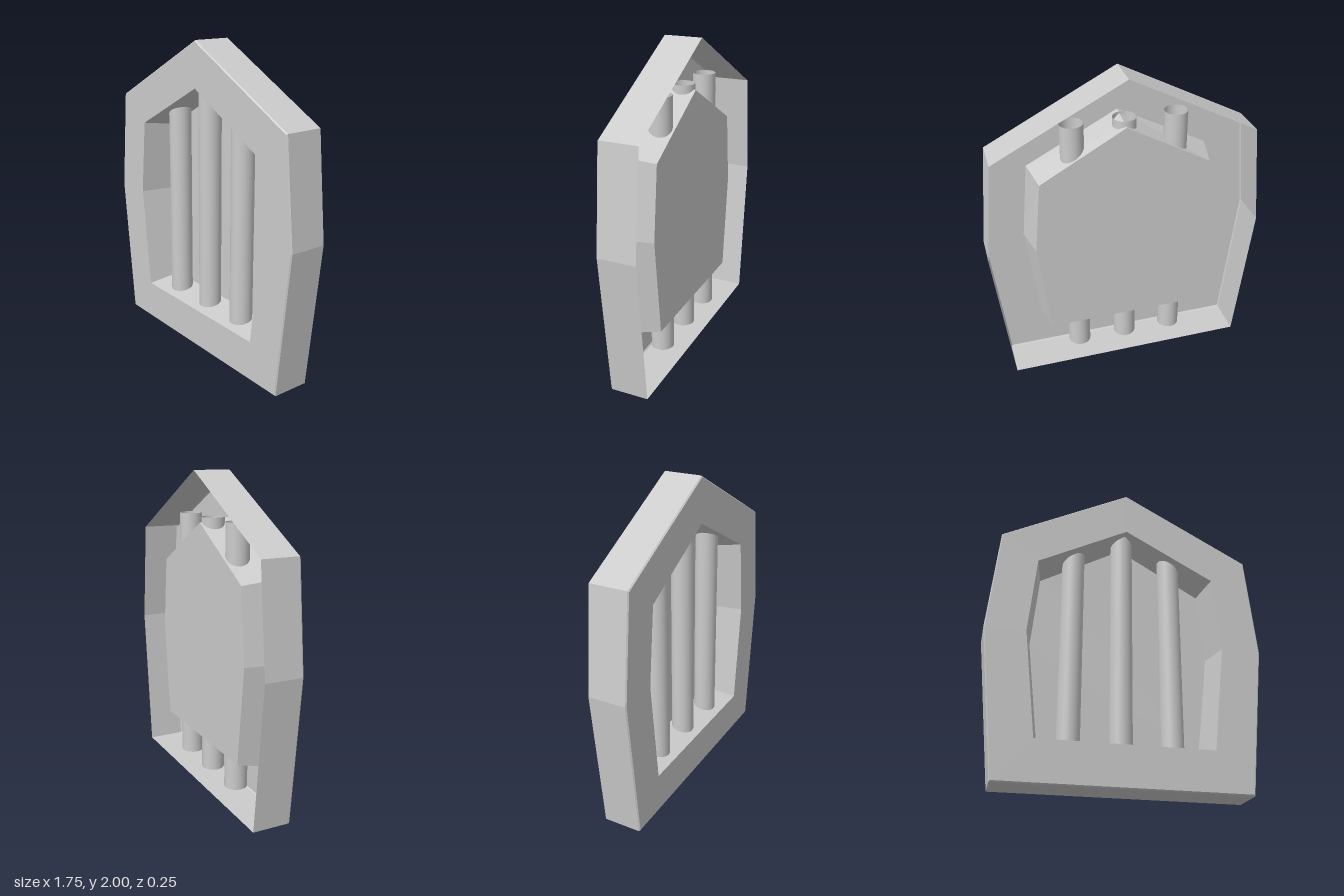
import * as THREE from 'three';

const flat = new THREE.MeshStandardMaterial({ color: 0xcccccc, flatShading: true, side: THREE.DoubleSide });
const smooth = new THREE.MeshStandardMaterial({ color: 0xcccccc, side: THREE.DoubleSide });

// Seven-sided gabled outline, counter-clockwise from the front
function outline(bottomX, bottomY, midX, shoulderX, shoulderY, peakY) {
  const right = [[bottomX, bottomY], [midX, 0.925], [shoulderX, shoulderY]];
  const left = right.map(([x, y]) => [-x, y]).reverse();
  return [...right, [0, peakY], ...left];
}

// Skin between successive outlines, each placed at its own depth
function loft(rings) {
  const pos = [];
  for (let r = 0; r < rings.length - 1; r++) {
    const [a, za] = rings[r], [b, zb] = rings[r + 1];
    for (let i = 0; i < a.length; i++) {
      const j = (i + 1) % a.length;
      const p = [...a[i], za], q = [...a[j], za], s = [...b[j], zb], t = [...b[i], zb];
      pos.push(...p, ...q, ...s, ...p, ...s, ...t);
    }
  }
  const geo = new THREE.BufferGeometry();
  geo.setAttribute('position', new THREE.Float32BufferAttribute(pos, 3));
  geo.computeVertexNormals();
  return geo;
}

export function createModel() {
  const group = new THREE.Group();
  const add = (name, geo, mat) => {
    const mesh = new THREE.Mesh(geo, mat);
    mesh.name = name;
    group.add(mesh);
    return mesh;
  };

  const outer = outline(0.775, 0, 0.875, 0.81, 1.58, 2);
  const rim = outline(0.769, 0.008, 0.868, 0.804, 1.575, 1.992);
  const opening = outline(0.545, 0.26, 0.62, 0.572, 1.415, 1.715);
  const panel = outline(0.506, 0.3, 0.578, 0.532, 1.388, 1.687);
  const front = 0.123, back = -0.123, panelZ = -0.085;

  // Open-backed shell: side walls, small front bevel and front face
  add('frame', loft([[outer, back], [outer, front - 0.008], [rim, front], [opening, front]]), flat);

  // Tapered recess and its closed back
  add('recessWalls', loft([[opening, front], [panel, panelZ]]), flat);
  const shape = new THREE.Shape(panel.map(([x, y]) => new THREE.Vector2(x, y)));
  add('backPanel', new THREE.ShapeGeometry(shape), flat).position.z = panelZ;

  // Hollow bars passing through the recess floor and roof
  const barBottom = 0.075, barTop = 1.72;
  const barGeo = new THREE.CylinderGeometry(0.072, 0.072, barTop - barBottom, 32, 1, true);
  [-0.33, -0.01, 0.31].forEach((x, i) => {
    add('bar' + (i + 1), barGeo, smooth).position.set(x, (barTop + barBottom) / 2, 0);
  });

  return group;
}
